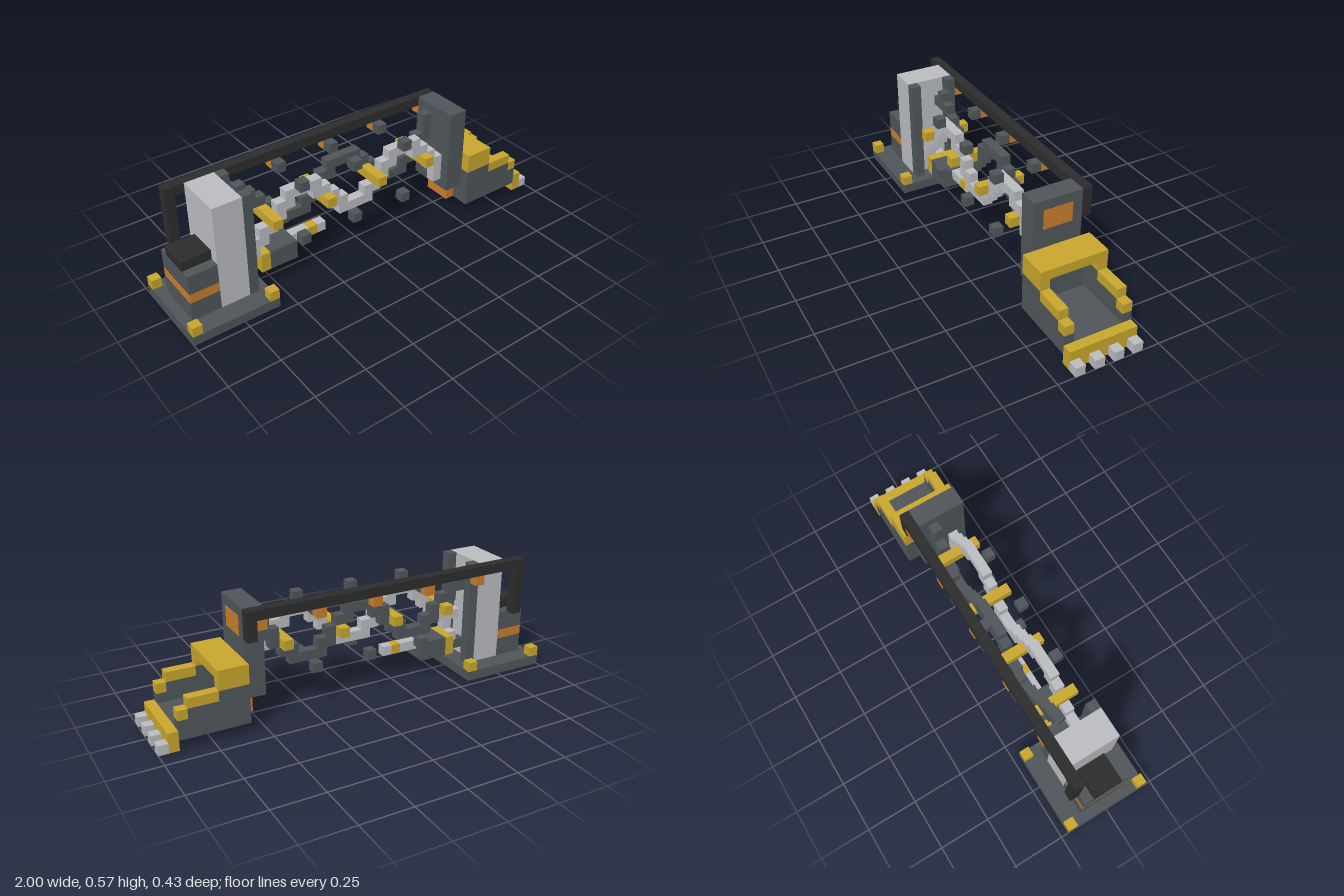
import * as THREE from 'three';

const U = 2 / 42; // one block

const mat = (name, color) => {
  const m = new THREE.MeshStandardMaterial({ color });
  m.name = name;
  return m;
};

export function createModel() {
  const model = new THREE.Group();
  model.name = 'blockMachine';
  const grey = mat('slateGrey', 0x50565a);
  const light = mat('lightGrey', 0xbcbdc1);
  const yellow = mat('yellow', 0xc9a72d);
  const black = mat('black', 0x2d2d2d);
  const orange = mat('orange', 0xca7e2d);

  // Box spanning grid lines x0..x1, y0..y1, z0..z1 (in blocks)
  function box(name, m, x0, x1, y0, y1, z0, z1, parent = model) {
    const mesh = new THREE.Mesh(new THREE.BoxGeometry((x1 - x0) * U, (y1 - y0) * U, (z1 - z0) * U), m);
    mesh.position.set(((x0 + x1) / 2 - 21) * U, ((y0 + y1) / 2) * U, ((z0 + z1) / 2 - 4.5) * U);
    mesh.name = name;
    parent.add(mesh);
  }
  function group(name) {
    const g = new THREE.Group();
    g.name = name;
    model.add(g);
    return g;
  }

  // Base plate with corner blocks
  const base = group('base');
  box('basePlate', grey, 0, 9, 0, 1, 0, 9, base);
  for (const x of [0, 8]) for (const z of [0, 8]) box('cornerBlock', yellow, x, x + 1, 1, 2, z, z + 1, base);

  // Motor housing
  const motor = group('motorHousing');
  box('housingLower', grey, 1, 4, 1, 3, 2, 7, motor);
  box('housingBand', orange, 1, 4, 3, 4, 2, 7, motor);
  box('housingUpper', grey, 1, 4, 4, 6, 2, 7, motor);
  box('housingCap', black, 1, 4, 6, 7, 3, 6, motor);

  // Mast with two guide rails
  const mast = group('mast');
  box('column', light, 4, 7, 1, 12, 2, 7, mast);
  for (const z of [2, 6]) box('guideRail', grey, 7, 8, 1, 12, z, z + 1, mast);

  // Overhead bar with end drops and orange clips
  const bar = group('overheadBar');
  box('bar', black, 2, 33, 11, 12, 1, 2, bar);
  box('rearDrop', black, 2, 3, 6, 11, 1, 2, bar);
  box('frontDrop', black, 32, 33, 9, 11, 1, 2, bar);
  for (let x = 7; x <= 31; x += 6) box('clip', orange, x, x + 1, 10, 11, 1, 2, bar);

  // Two stepped strands that weave between the mast and the head
  const strands = group('strands');
  const steps = [0, 1, 2, 2, 2, 1];
  const offset = (x) => {
    const t = (x - 10 + 24) % 12;
    return t < 6 ? steps[t] : -steps[t - 6];
  };
  for (const [m, sign, z] of [[light, 1, 5], [grey, -1, 3]]) {
    for (let x = 7; x < 31; x++) {
      const now = sign * offset(x);
      const before = sign * offset(x - 1);
      let lo = 7 + Math.min(now, before);
      let hi = 8 + Math.max(now, before);
      if (now === 0) { // leave room for the rung
        if (before > 0) lo = 8;
        else hi = 7;
      }
      box('strandStep', m, x, x + 1, lo, hi, z, z + 1, strands);
    }
    for (const x of [8, 30]) {
      const y = sign > 0 ? 4 : 10;
      box('strandEnd', m, x, x + 1, y, y + 1, z, z + 1, strands);
    }
  }
  for (let x = 10; x <= 28; x += 6) box('rung', yellow, x, x + 1, 7, 8, 2, 7, strands);
  for (const x of [13, 19, 25]) for (const y of [4, 10]) for (const z of [2, 6]) {
    box('stud', grey, x, x + 1, y, y + 1, z, z + 1, strands);
  }

  // Small tool arm at the foot of the mast
  const arm = group('toolArm');
  box('armMount', grey, 7, 9, 2, 3, 4, 5, arm);
  box('armLink', light, 8, 9, 3, 4, 4, 5, arm);
  box('armCollar', yellow, 9, 10, 2, 4, 3, 6, arm);
  box('armBody', grey, 10, 13, 2, 4, 3, 6, arm);
  box('toolShaft', light, 13, 15, 3, 4, 4, 5, arm);
  box('toolRing', yellow, 15, 16, 3, 4, 4, 5, arm);
  box('toolTip', light, 16, 17, 3, 4, 4, 5, arm);

  // Head slab carrying the bucket
  const head = group('head');
  box('headSlab', grey, 31, 33, 3, 12, 2, 7, head);
  box('headPanel', orange, 33, 33.05, 9, 11, 3, 6, head);
  box('headFoot', orange, 32, 33, 1, 3, 3, 6, head);

  // Open bucket: floor, back, stepped sides with yellow trim, roof, lip and teeth
  const bucket = group('bucket');
  box('floor', grey, 33, 40, 1, 2, 1, 8, bucket);
  box('backWall', grey, 33, 34, 2, 6, 2, 7, bucket);
  for (const z of [1, 7]) {
    box('sideRear', grey, 33, 36, 2, 5, z, z + 1, bucket);
    box('sideMiddle', grey, 36, 39, 2, 4, z, z + 1, bucket);
    box('sideFront', grey, 39, 40, 2, 3, z, z + 1, bucket);
    box('trimRear', yellow, 33, 36, 5, 6, z, z + 1, bucket);
    box('trimMiddle', yellow, 36, 39, 4, 5, z, z + 1, bucket);
    box('trimFront', yellow, 39, 40, 3, 4, z, z + 1, bucket);
  }
  box('roof', yellow, 33, 36, 6, 7, 1, 8, bucket);
  box('lip', yellow, 40, 41, 0, 2, 1, 8, bucket);
  for (let z = 1; z <= 7; z += 2) box('tooth', light, 41, 42, 0, 1, z, z + 1, bucket);

  return model;
}
